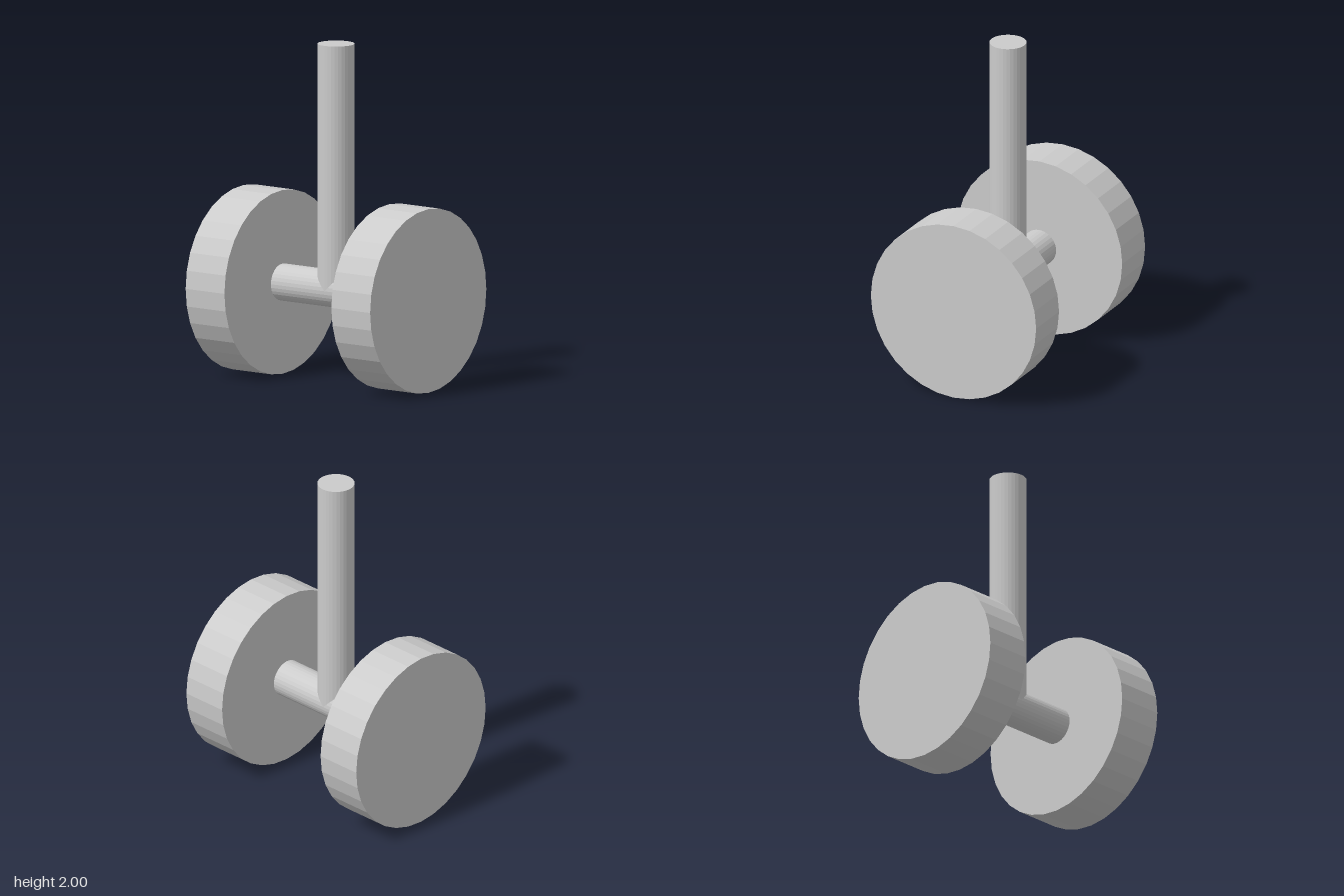
import * as THREE from 'three';

const SIDES = 32;
const WHEEL_RADIUS = 0.545;
const ROD_RADIUS = 0.109;

export function createModel() {
  const model = new THREE.Group();
  const material = new THREE.MeshStandardMaterial({ color: 0xcccccc, flatShading: true });

  const addCylinder = (name, radius, length, x, y, sideways) => {
    const geometry = new THREE.CylinderGeometry(radius, radius, length, SIDES);
    if (sideways) geometry.rotateZ(Math.PI / 2);
    const mesh = new THREE.Mesh(geometry, material);
    mesh.name = name;
    mesh.position.set(x, y, 0);
    model.add(mesh);
  };

  // Pair of solid wheels
  addCylinder('leftWheel', WHEEL_RADIUS, 0.29, 0.545, WHEEL_RADIUS, true);
  addCylinder('rightWheel', WHEEL_RADIUS, 0.29, -0.545, WHEEL_RADIUS, true);

  // Axle between the wheels
  addCylinder('axle', ROD_RADIUS, 0.8, 0, WHEEL_RADIUS, true);

  // Upright post, rising from the axle's centre line
  const postHeight = 2 - WHEEL_RADIUS;
  addCylinder('post', ROD_RADIUS, postHeight, 0, WHEEL_RADIUS + postHeight / 2, false);

  return model;
}
